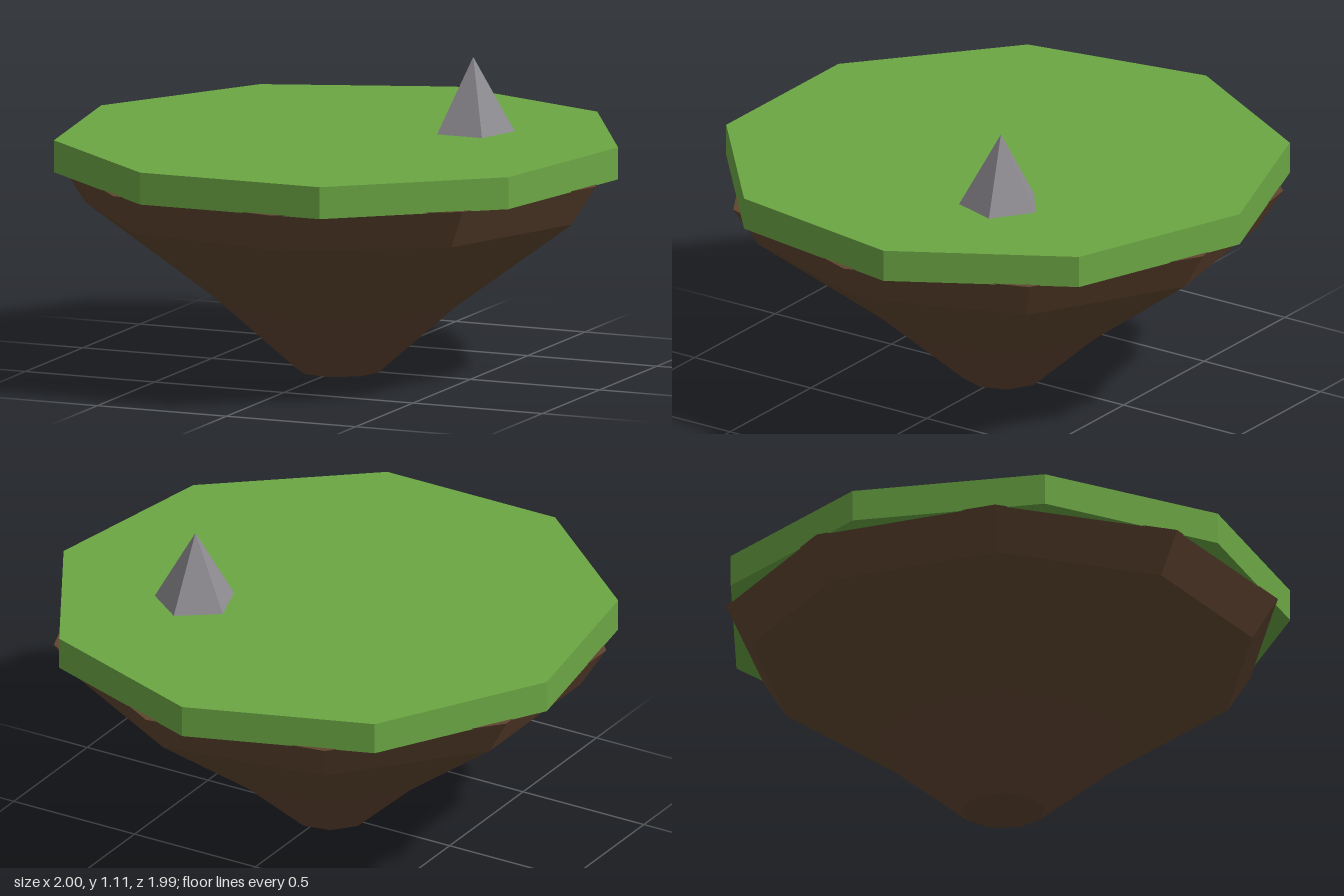
import * as THREE from 'three';

const material = (name, color) => {
  const m = new THREE.MeshStandardMaterial({ color, flatShading: true });
  m.name = name;
  return m;
};

export function createModel() {
  const grass = material('grass green', 0x6ba644);
  const earth = material('earth brown', 0x604530);
  const stone = material('stone grey', 0x8d8b90);

  const island = new THREE.Group();
  island.name = 'floatingIsland';
  const add = (name, geometry, mat, x, y, z) => {
    const mesh = new THREE.Mesh(geometry, mat);
    mesh.name = name;
    mesh.position.set(x, y, z);
    island.add(mesh);
    return mesh;
  };

  const sides = 9;
  const centreZ = 0.0155;

  // Tapering underside, a closed nine-sided profile with a corner on +x
  const profile = [[0, 0], [0.15, 0], [0.45, 0.26], [0.9, 0.59], [0.992, 0.733], [0, 0.733]]
    .map(([r, y]) => new THREE.Vector2(r, y));
  const earthGeometry = new THREE.LatheGeometry(profile, sides, Math.PI / 2).toNonIndexed();
  earthGeometry.computeVertexNormals();
  add('earthBase', earthGeometry, earth, 0, 0, centreZ);

  // Grass slab with a corner pointing to the back
  const slabHeight = 0.115;
  const slab = new THREE.CylinderGeometry(1.0155, 1.0155, slabHeight, sides);
  add('grassSlab', slab, grass, 0, 0.73 + slabHeight / 2, centreZ).rotation.y = Math.PI;

  // Five-sided pointed rock
  const rockHeight = 0.265;
  const rock = new THREE.ConeGeometry(0.148, rockHeight, 5);
  add('rock', rock, stone, 0.4, 0.845 + rockHeight / 2, -0.25).rotation.y = Math.PI;

  return island;
}
